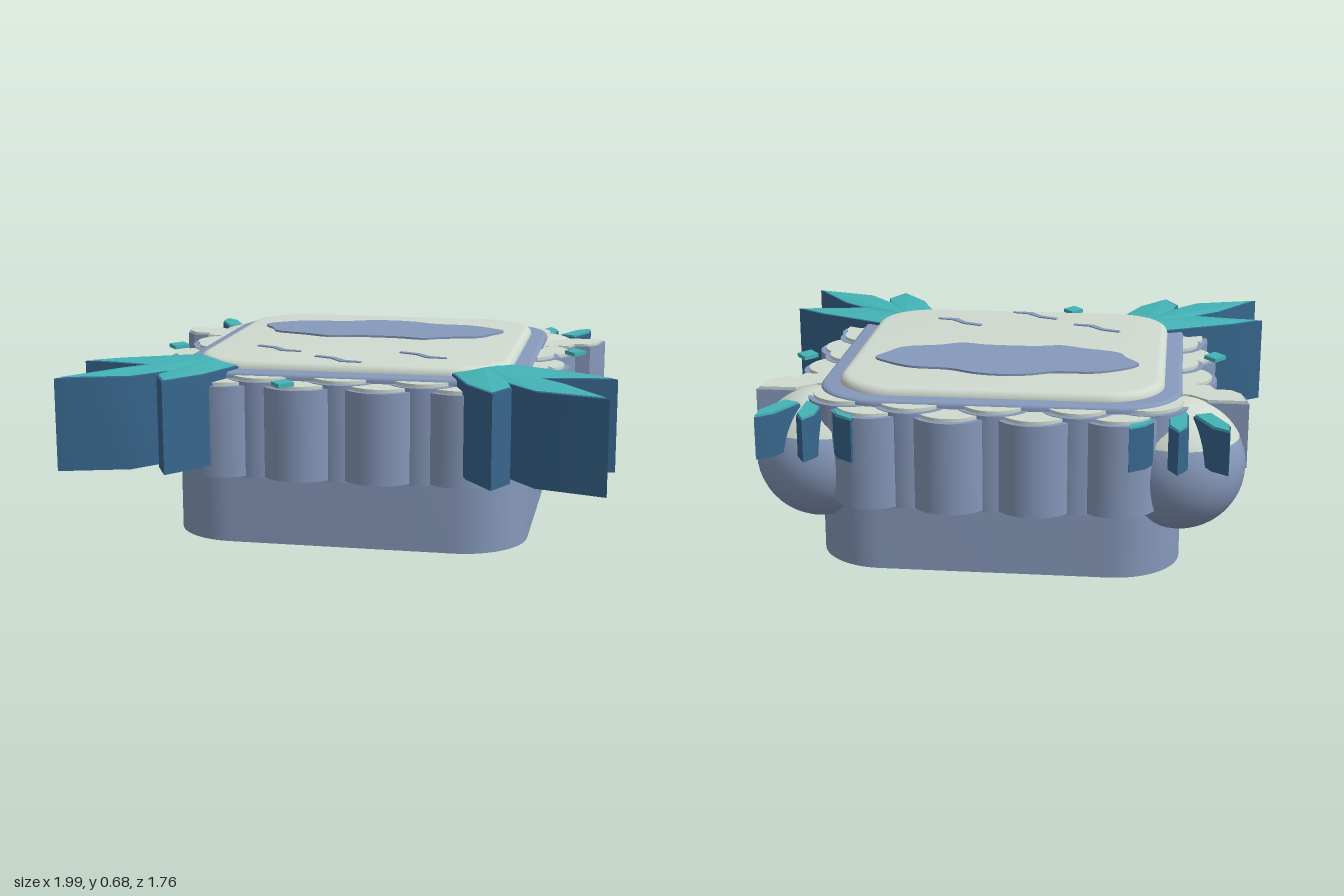
import * as THREE from 'three';
import { toCreasedNormals } from 'three/addons/utils/BufferGeometryUtils.js';

const material = (name, color, side = THREE.FrontSide) => {
  const m = new THREE.MeshStandardMaterial({ color, side });
  m.name = name;
  return m;
};

export function createModel() {
  const model = new THREE.Group();
  const stone = material('blue stone', 0x8699bb);
  const cream = material('pale cream', 0xd0dacf);
  const teal = material('teal crystal', 0x43b3b5, THREE.DoubleSide);
  const navy = material('deep crystal', 0x37668c);

  const add = (name, geometry, mat) => {
    const mesh = new THREE.Mesh(geometry, mat);
    mesh.name = name;
    model.add(mesh);
    return mesh;
  };
  // Outline given as [x, z]; shapes are drawn with y = -z, then laid flat
  const outline = (pts) => new THREE.Shape(pts.map(([x, z]) => new THREE.Vector2(x, -z)));
  const slab = (shape, y0, y1, bevel = 0) => {
    const g = new THREE.ExtrudeGeometry(shape, {
      depth: y1 - y0 - 2 * bevel, curveSegments: 12, bevelEnabled: bevel > 0,
      bevelSize: bevel, bevelThickness: bevel, bevelOffset: -bevel, bevelSegments: 4,
    });
    g.rotateX(-Math.PI / 2).translate(0, y0 + bevel, 0);
    return toCreasedNormals(g, 0.6);
  };
  const smooth = (pts, n) => new THREE.CatmullRomCurve3(
    pts.map(([x, z]) => new THREE.Vector3(x, 0, z)), true).getPoints(n).slice(0, n).map((p) => [p.x, p.z]);
  const roundedSquare = (hx, z0, z1, r) => {
    const s = new THREE.Shape();
    s.absarc(hx - r, -z0 - r, r, 0, Math.PI / 2);
    s.absarc(-hx + r, -z0 - r, r, Math.PI / 2, Math.PI);
    s.absarc(-hx + r, -z1 + r, r, Math.PI, Math.PI * 1.5);
    s.absarc(hx - r, -z1 + r, r, Math.PI * 1.5, Math.PI * 2);
    return s;
  };

  // Central block, raised rim and padded top
  add('base', slab(roundedSquare(0.67, -0.745, 0.595, 0.25), 0, 0.61), stone);
  add('rim', slab(roundedSquare(0.665, -0.745, 0.585, 0.25), 0.58, 0.645, 0.015), stone);
  add('topPad', slab(roundedSquare(0.6, -0.685, 0.515, 0.22), 0.6, 0.675, 0.03), cream);

  // Scalloped columns, each with a pale cap
  const column = (x, z, r, top, bottom) => {
    const body = add('scallopColumn', new THREE.CylinderGeometry(r, r, top - bottom, 28), stone);
    body.position.set(x, (top + bottom) / 2, z);
    const cap = add('scallopCap', new THREE.CylinderGeometry(r - 0.02, r - 0.02, 0.012, 28), cream);
    cap.position.set(x, top + 0.006, z);
  };
  for (const s of [-1, 1]) {
    for (const [x, zBack, zFront] of [[0.15, -0.73, 0.56], [0.44, -0.7, 0.535]]) {
      column(s * x, zBack, 0.15, 0.608, 0.27);
      column(s * x, zFront, 0.15, 0.608, 0.27);
    }
    for (const z of [-0.23, 0.065, 0.34]) column(s * (z > 0.3 ? 0.62 : 0.65), z, 0.145, 0.608, 0.27);
    // Recessed columns between them
    for (const z of [-0.085, 0.205]) column(s * 0.61, z, 0.135, 0.622, 0.265);
    column(s * 0.3, -0.68, 0.14, 0.622, 0.265);
    column(s * 0.3, 0.515, 0.14, 0.622, 0.265);
    column(s * 0.54, -0.61, 0.15, 0.622, 0.265);
  }
  column(0, -0.68, 0.14, 0.622, 0.265);
  column(0, 0.515, 0.14, 0.622, 0.265);

  // Outline points for the left-hand (negative x) corner, mirrored below
  const cluster = [[-0.59, 0.3], [-0.88, 0.44], [-0.995, 0.52], [-0.87, 0.535], [-0.72, 0.565],
    [-0.82, 0.65], [-0.98, 0.875], [-0.73, 0.8], [-0.62, 0.67], [-0.64, 0.75],
    [-0.585, 0.86], [-0.48, 0.72], [-0.395, 0.5]];
  const drip = [[-0.905, -0.55], [-0.76, -0.55], [-0.69, -0.48], [-0.6, -0.48], [-0.6, -0.32],
    [-0.7, -0.3], [-0.725, -0.34], [-0.77, -0.34], [-0.79, -0.4], [-0.85, -0.4], [-0.89, -0.45]];
  const blade = [[-0.035, 0.1], [-0.035, -0.05], [0, -0.115], [0.035, -0.05], [0.035, 0.1]];

  for (const s of [1, -1]) {
    const mirror = (pts) => pts.map(([x, z]) => [s * x, z]);

    // Large front crystal cluster with a faceted top
    add('crystalCluster', slab(outline(mirror(cluster)), 0.315, 0.655), navy);
    const root = [s * -0.5, 0.672, 0.4];
    const rim = mirror(cluster).map(([x, z]) => [
      root[0] + (x - root[0]) * 0.97, 0.658, root[2] + (z - root[2]) * 0.97]);
    const facets = [];
    for (let i = 0; i < rim.length - 1; i++) {
      const [a, b] = s > 0 ? [rim[i], rim[i + 1]] : [rim[i + 1], rim[i]];
      facets.push(...root, ...a, ...b);
    }
    const top = new THREE.BufferGeometry();
    top.setAttribute('position', new THREE.Float32BufferAttribute(facets, 3));
    top.computeVertexNormals();
    add('crystalFacets', top, teal);

    // Rear corner ball with a pale cap
    const ball = add('cornerBall', new THREE.SphereGeometry(0.24, 36, 24), stone);
    ball.position.set(s * 0.66, 0.39, -0.57);
    const cap = add('ballCap', new THREE.SphereGeometry(0.242, 36, 12, 0, Math.PI * 2, 0, 1.09), cream);
    cap.position.copy(ball.position);

    // Wavy ledge in front of the ball
    add('ledge', slab(outline(mirror(drip)), 0.37, 0.612), stone);
    const inset = drip.map(([x, z]) => [-0.7 + (x + 0.7) * 0.94, -0.44 + (z + 0.44) * 0.9]);
    add('ledgeTop', slab(outline(mirror(inset)), 0.612, 0.621), cream);

    // Three small rear crystals
    for (const [x, z, a] of [[-0.78, -0.765, 0.44], [-0.655, -0.77, 0], [-0.535, -0.765, -0.44]]) {
      const body = add('smallCrystal', slab(outline(blade), 0.45, 0.605), navy);
      const tip = add('smallCrystalTop', slab(outline(blade.map(([u, v]) => [u * 0.85, v * 0.95])), 0.605, 0.613), teal);
      for (const m of [body, tip]) {
        m.position.set(s * x, 0, z);
        m.rotation.y = s * a;
      }
    }
  }

  // Loose diamond chips
  for (const [x, z] of [[-0.79, 0], [0.805, -0.135], [-0.185, 0.705]]) {
    add('diamondChip', slab(outline([[x - 0.042, z], [x, z - 0.055], [x + 0.042, z], [x, z + 0.055]]), 0.625, 0.64), teal);
  }

  // Wavy patch on the top pad
  const patch = [[-0.5, -0.305], [-0.45, -0.37], [-0.34, -0.43], [-0.19, -0.44], [-0.1, -0.48], [0, -0.495],
    [0.1, -0.48], [0.2, -0.435], [0.35, -0.42], [0.45, -0.36], [0.5, -0.31], [0.465, -0.23], [0.42, -0.155],
    [0.28, -0.11], [0.2, -0.07], [0.1, -0.09], [-0.1, -0.09], [-0.19, -0.07], [-0.28, -0.105],
    [-0.42, -0.155], [-0.45, -0.22]];
  add('wavyPatch', slab(outline(smooth(patch, 84)), 0.674, 0.683), stone);

  // Short cracks
  const crack = [[-0.405, 0.175], [-0.33, 0.205], [-0.28, 0.26], [-0.215, 0.275],
    [-0.215, 0.292], [-0.295, 0.285], [-0.34, 0.228], [-0.41, 0.198]];
  for (const [dx, dz] of [[0, 0], [0.57, 0.048], [0.27, 0.185]]) {
    add('crack', slab(outline(crack.map(([x, z]) => [x + dx, z + dz])), 0.671, 0.679), stone);
  }
  return model;
}
